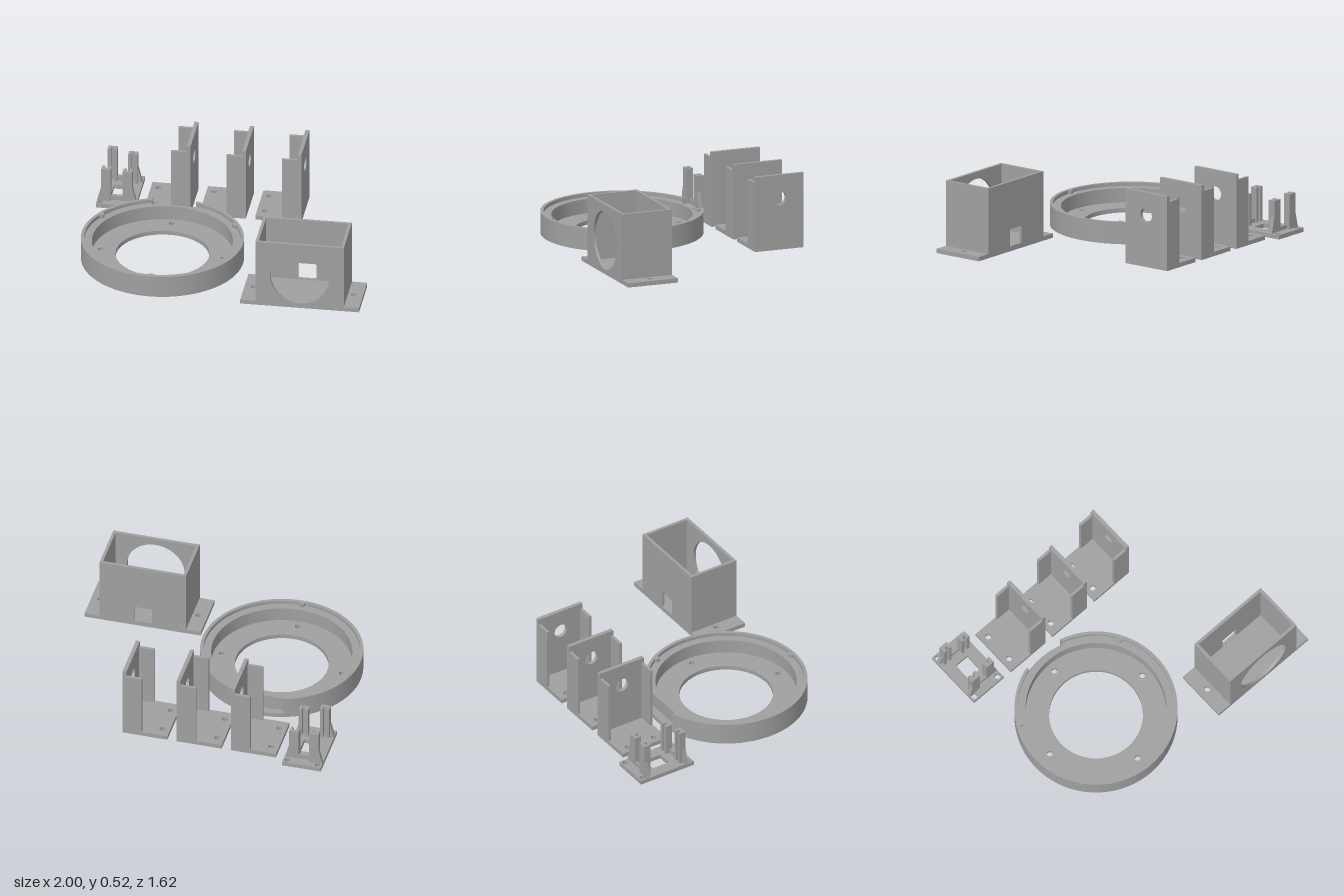
import * as THREE from 'three';
import { toCreasedNormals } from 'three/addons/utils/BufferGeometryUtils.js';

const plastic = new THREE.MeshStandardMaterial({ color: 0xa0a0a0 });
plastic.name = 'grey plastic';

function addMesh(parent, name, geometry) {
  const mesh = new THREE.Mesh(geometry, plastic);
  mesh.name = name;
  parent.add(mesh);
  return mesh;
}

function addGroup(parent, name) {
  const group = new THREE.Group();
  group.name = name;
  parent.add(group);
  return group;
}

// Box given by its limits on each axis
function block(parent, name, x0, x1, y0, y1, z0, z1) {
  const mesh = addMesh(parent, name, new THREE.BoxGeometry(x1 - x0, y1 - y0, z1 - z0));
  mesh.position.set((x0 + x1) / 2, (y0 + y1) / 2, (z0 + z1) / 2);
  return mesh;
}

const polygon = (points) => new THREE.Shape(points.map((p) => new THREE.Vector2(p[0], p[1])));
const rect = (a0, a1, b0, b1) => polygon([[a0, b0], [a1, b0], [a1, b1], [a0, b1]]);
const circle = (a, b, r) => new THREE.Shape().absarc(a, b, r, 0, Math.PI * 2, false);

function extrude(shape, holes, depth) {
  shape.holes.push(...holes);
  const geometry = new THREE.ExtrudeGeometry(shape, { depth, bevelEnabled: false, curveSegments: 40 });
  return toCreasedNormals(geometry, 0.5);
}

// Plate lying flat: shape coordinates are (x, -z)
function flat(parent, name, shape, holes, y0, y1) {
  const geometry = extrude(shape, holes, y1 - y0).rotateX(-Math.PI / 2).translate(0, y0, 0);
  return addMesh(parent, name, geometry);
}

const BASE = 0.03;
const SCREW = 0.02;

function buildRing(parent) {
  const ring = addGroup(parent, 'ring housing');
  ring.position.set(-0.443, 0, 0.245);
  const R = 0.557, bore = 0.482, lipInner = 0.535, half = 0.152, cut = 0.5;

  // Floor with central opening and four screw holes
  const screws = [0, 1, 2, 3].map((i) =>
    circle(0.425 * Math.cos(i * Math.PI / 2), 0.425 * Math.sin(i * Math.PI / 2), SCREW));
  flat(ring, 'ring floor', circle(0, 0, R), [circle(0, 0, 0.32), ...screws], 0, BASE);

  // Wall with a rectangular notch at the back
  const a = Math.acos(half / R);
  const wall = new THREE.Shape();
  wall.moveTo(half, cut);
  wall.lineTo(-half, cut);
  wall.absarc(0, 0, R, Math.PI - a, 2 * Math.PI + a, false);
  flat(ring, 'ring wall', wall, [circle(0, 0, bore)], BASE, 0.13);

  // Thin raised lip, open at the notch
  const b = Math.acos(half / lipInner);
  const lip = new THREE.Shape();
  lip.absarc(0, 0, R, Math.PI - a, 2 * Math.PI + a, false);
  lip.absarc(0, 0, lipInner, 2 * Math.PI + b, Math.PI - b, true);
  flat(ring, 'ring lip', lip, [], 0.13, 0.155);

  // Three locating bumps inside the lip
  for (let i = 0; i < 3; i++) {
    const t = Math.PI / 2 + i * Math.PI * 2 / 3;
    const bump = addMesh(ring, 'locating bump', new THREE.CylinderGeometry(0.021, 0.021, 0.025, 24));
    bump.position.set(0.533 * Math.cos(t), 0.1425, 0.533 * Math.sin(t));
  }
}

function buildBox(parent) {
  const box = addGroup(parent, 'open box');
  const [x0, x1, z0, z1, top, t] = [0.285, 0.895, 0.438, 0.805, 0.49, 0.021];
  flat(box, 'box base', rect(0.18, 1, -z1, -z0),
    [circle(0.245, -0.615, SCREW), circle(0.935, -0.615, SCREW)], 0, BASE);
  addMesh(box, 'box front wall', extrude(rect(x0, x1, BASE, top), [circle(0.59, 0.238, 0.203)], t))
    .position.z = z1 - t;
  addMesh(box, 'box back wall', extrude(rect(x0, x1, BASE, top), [rect(0.525, 0.652, 0.035, 0.155)], t))
    .position.z = z0;
  block(box, 'box right wall', x0, x0 + t, BASE, top, z0 + t, z1 - t);
  block(box, 'box left wall', x1 - t, x1, BASE, top, z0 + t, z1 - t);
}

// Angle bracket with two side ribs
function buildBracket(parent, x) {
  const bracket = addGroup(parent, 'angle bracket');
  bracket.position.x = x;
  const z0 = -0.738, z1 = -0.378, w = 0.317, t = 0.027;
  flat(bracket, 'bracket base', rect(0, w, -z1, -z0),
    [circle(0.053, 0.666, SCREW), circle(0.053, 0.454, SCREW)], 0, BASE);
  const plate = extrude(rect(-z1, -z0, BASE, 0.525), [circle(0.556, 0.363, 0.05)], t);
  addMesh(bracket, 'bracket plate', plate.rotateY(Math.PI / 2)).position.x = w - t;
  for (const z of [z0, z1 - 0.02]) {
    block(bracket, 'bracket rib', w - 0.135, w - t, BASE, 0.483, z, z + 0.02);
  }
}

// Small base plate carrying four slotted posts
function buildHolder(parent) {
  const holder = addGroup(parent, 'post holder');
  const cz = -0.595;
  holder.position.z = cz;
  const screws = [];
  for (const x of [-0.97, -0.757]) for (const z of [-0.185, 0.185]) screws.push(circle(x, z, SCREW));
  flat(holder, 'holder base', rect(-1, -0.727, -0.215, 0.215),
    [rect(-0.917, -0.81, -0.065, 0.065), ...screws], 0, BASE);

  for (const s of [-1, 1]) {
    const side = (name, x0, x1, y1, d0, d1) =>
      block(holder, name, x0, x1, BASE, y1, Math.min(s * d0, s * d1), Math.max(s * d0, s * d1));
    // Each post is a back strip with two prongs and a slot between them
    for (const [x0, x1, h, d] of [[-0.97, -0.905, 0.275, 0.168], [-0.825, -0.76, 0.255, 0.15]]) {
      side('post back', x0, x1, h, d - 0.022, d);
      side('post prong', x0, x0 + 0.022, h, d - 0.05, d - 0.022);
      side('post prong', x1 - 0.022, x1, h, d - 0.05, d - 0.022);
    }
    side('low link wall', -0.905, -0.825, 0.06, 0.132, 0.146);
    // Sloped gussets on the outer sides
    for (const [xa, xb, d] of [[-0.97, -0.998, 0.168], [-0.76, -0.732, 0.15]]) {
      const gusset = extrude(polygon([[xa, BASE], [xb, BASE], [xa, 0.14]]), [], 0.028);
      addMesh(holder, 'post gusset', gusset).position.z = s > 0 ? d - 0.028 : -d;
    }
  }
}

export function createModel() {
  const model = new THREE.Group();
  model.name = 'printed parts set';
  buildRing(model);
  buildBox(model);
  for (const x of [-0.664, -0.281, 0.102]) buildBracket(model, x);
  buildHolder(model);
  return model;
}
